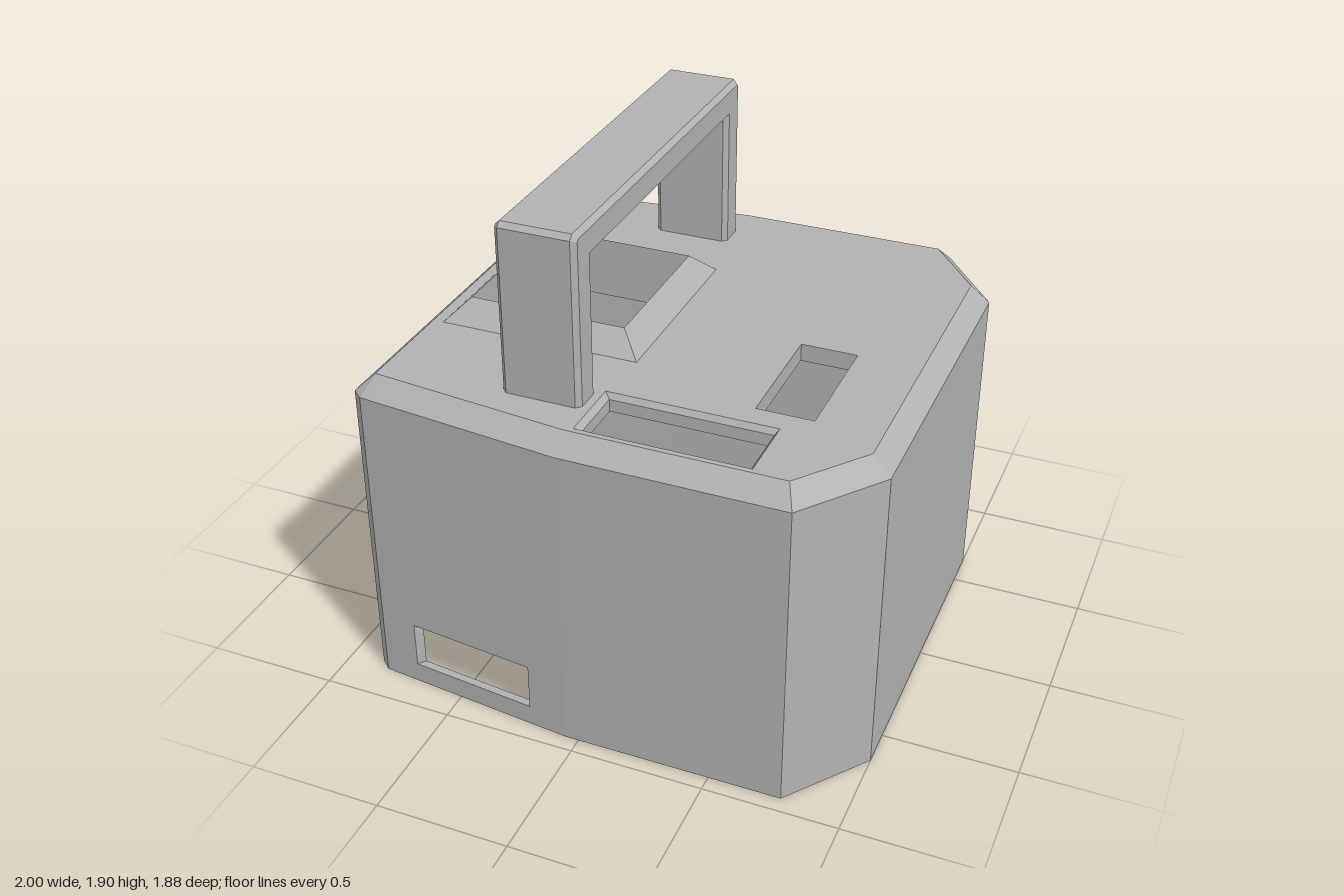
import * as THREE from 'three';
import { toCreasedNormals } from 'three/addons/utils/BufferGeometryUtils.js';

const ROOF = 1.267, CEILING = 1.2;

// Half footprint on the front side, mirrored for the back: [x, z]
const mirrorLoop = (half) => [...half, ...half.map(([x, z]) => [x, -z]).reverse()];
const footprint = mirrorLoop([[-0.87, 0.82], [-0.83, 0.855], [-0.05, 0.94], [0.77, 0.94], [1, 0.64]]);
const roofLoop = mirrorLoop([[-0.8, 0.785], [-0.795, 0.79], [-0.05, 0.87], [0.735, 0.87], [0.93, 0.62]]);

const rect = (x0, x1, z0, z1) => [[x0, z1], [x1, z1], [x1, z0], [x0, z0]];
const ring = (loop, y, s = 1) => loop.map(([x, z]) => [x * s, y, z * s]);
const plan = (loop) => new THREE.Shape(loop.map(([x, z]) => new THREE.Vector2(x, -z)));

function quad(out, a, b, c, d) {
  out.push(...a, ...b, ...c, ...a, ...c, ...d);
}

function finish(out) {
  const g = new THREE.BufferGeometry();
  g.setAttribute('position', new THREE.Float32BufferAttribute(out, 3));
  g.computeVertexNormals();
  return toCreasedNormals(g, 0.3);
}

// Skin successive closed rings; skip(i, j) leaves a quad out
function loft(rings, out = [], skip = () => false) {
  for (let i = 0; i < rings.length - 1; i++) {
    const p = rings[i], q = rings[i + 1], n = p.length;
    for (let j = 0; j < n; j++) {
      const k = (j + 1) % n;
      if (!skip(i, j)) quad(out, p[j], p[k], q[k], q[j]);
    }
  }
  return out;
}

// Upright extrusion of a plan shape, starting at height y
function slab(shape, y, height) {
  const g = new THREE.ExtrudeGeometry(shape, { depth: height, bevelEnabled: false, curveSegments: 10 });
  return g.rotateX(-Math.PI / 2).translate(0, y, 0);
}

// Hollow walls with a rectangular slot low in the front
function wallGeometry() {
  const s = 0.968, innerTop = 1.17, side = 1;
  const rings = [
    ring(roofLoop, CEILING, 0.97), ring(footprint, innerTop, s), ring(footprint, 0, s),
    ring(footprint, 0), ring(footprint, 1.2), ring(roofLoop, ROOF),
  ];
  const out = loft(rings, [], (i, j) => j === side && (i === 1 || i === 3));

  const [a, b] = [footprint[side], footprint[side + 1]];
  const at = (u, y, k) => [(a[0] + (b[0] - a[0]) * u) * k, y, (a[1] + (b[1] - a[1]) * u) * k];
  const us = [0, 0.18, 0.81, 1];
  for (const [k, top] of [[1, 1.2], [s, innerTop]]) {
    const ys = [0, 0.08, 0.26, top];
    for (let i = 0; i < 3; i++) for (let j = 0; j < 3; j++) {
      if (i === 1 && j === 1) continue;
      const c = [at(us[i], ys[j], k), at(us[i + 1], ys[j], k), at(us[i + 1], ys[j + 1], k), at(us[i], ys[j + 1], k)];
      quad(out, ...(k === 1 ? c : c.reverse()));
    }
  }
  // slot reveals
  const corners = [[us[1], 0.08], [us[2], 0.08], [us[2], 0.26], [us[1], 0.26]];
  corners.forEach(([u, y], i) => {
    const [v, w] = corners[(i + 1) % 4];
    quad(out, at(u, y, 1), at(v, w, 1), at(v, w, s), at(u, y, s));
  });
  return finish(out);
}

// Chamfered carrying handle: a U profile in z and y, extruded along x
function handleGeometry() {
  const c = 0.018, half = [[0.61, 1.78], [0.61, 1.2], [0.733, 1.2], [0.733, 1.902 - c], [0.733 - c, 1.902]];
  const pts = [...half, ...half.map(([z, y]) => [-z, y]).reverse()];
  const shape = new THREE.Shape(pts.map(([z, y]) => new THREE.Vector2(z, y)));
  const depth = 0.294 - 2 * c;
  const g = new THREE.ExtrudeGeometry(shape, {
    depth, bevelThickness: c, bevelSize: c, bevelOffset: -c, bevelSegments: 1,
  });
  return g.translate(0, 0, -depth / 2).rotateY(-Math.PI / 2).translate(-0.197, 0, 0);
}

export function createModel() {
  const model = new THREE.Group();
  const grey = new THREE.MeshStandardMaterial({ color: 0xb2b2b2 });
  grey.name = 'grey';
  const add = (name, geometry) => {
    const mesh = new THREE.Mesh(geometry, grey);
    mesh.name = name;
    model.add(mesh);
  };

  add('walls', wallGeometry());

  // Roof plate with three openings
  const slotOuter = rect(-0.02, 0.605, 0.595, 0.85), slotInner = rect(0, 0.59, 0.61, 0.832);
  const portOuter = rect(-0.76, 0, -0.38, 0.38), portInner = rect(-0.68, -0.08, -0.3, 0.3);
  const roof = plan(roofLoop);
  roof.holes.push(plan(slotOuter), plan(portInner), plan(rect(0.487, 0.695, 0.04, 0.505)));
  add('roof', slab(roof, CEILING, ROOF - CEILING));

  // Bevelled lining of the front slot
  add('slotLining', finish(loft([
    ring(slotOuter, ROOF), ring(slotInner, ROOF - 0.02), ring(slotInner, CEILING), ring(slotOuter, CEILING),
  ])));

  // Sloped collar with a skirt below the roof
  const skirt = rect(-0.71, -0.05, -0.33, 0.33);
  add('portCollar', finish(loft([
    ring(portOuter, ROOF), ring(portInner, 1.347), ring(portInner, 1.11), ring(skirt, 1.11), ring(skirt, CEILING),
  ])));

  add('handle', handleGeometry());

  // Side pod with a sloped top and a screw hole underneath
  const podLoop = [[-0.86, 0.3], [-0.86, -0.3], [-0.96, -0.3], [-1, -0.26], [-1, 0.26], [-0.96, 0.3]];
  const foot = plan(podLoop);
  foot.holes.push(new THREE.Path().absarc(-0.935, 0, 0.033, 0, Math.PI * 2, true));
  add('podFoot', slab(foot, 0, 0.12));
  const pod = slab(plan(podLoop), 0.12, 0.8);
  const p = pod.attributes.position;
  for (let i = 0; i < p.count; i++) {
    if (p.getY(i) > 0.5) p.setY(i, 0.92 + (p.getX(i) + 1) * 0.6);
  }
  pod.computeVertexNormals();
  add('pod', pod);

  // Small peg in the front corner
  add('cornerPeg', new THREE.CylinderGeometry(0.035, 0.035, 0.2, 16).translate(0.8, 0.12, 0.83));

  return model;
}
